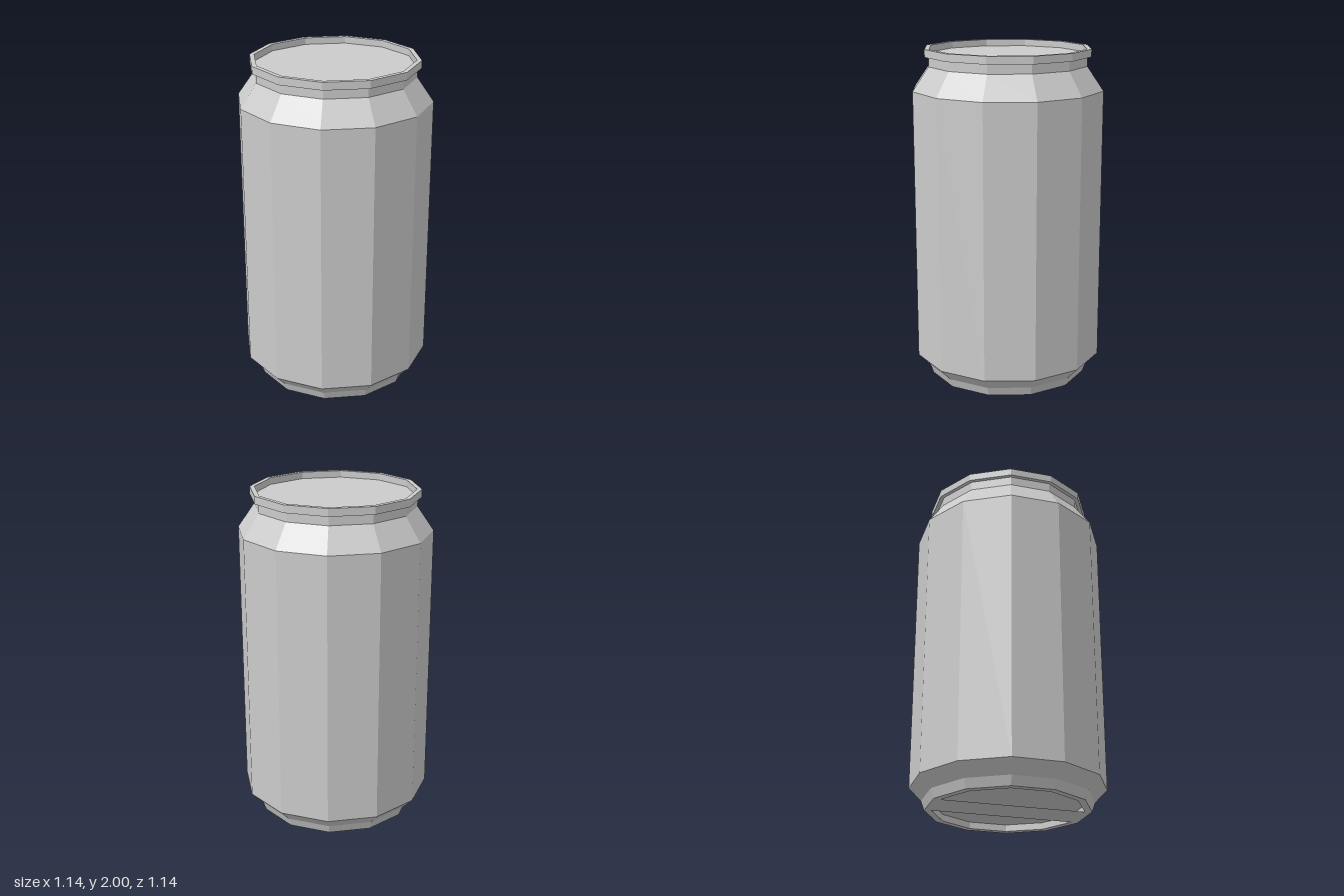
import * as THREE from 'three';

const SIDES = 12;
const BASE_R = 0.437; // inner radius of the foot ring

export function createModel() {
  const can = new THREE.Group();
  can.name = 'can';
  const metal = new THREE.MeshStandardMaterial({ color: 0xcccccc, flatShading: true });

  // Revolves a [radius, height] profile into a faceted ring
  const addLathe = (name, profile) => {
    const points = profile.map(([r, y]) => new THREE.Vector2(r, y));
    const mesh = new THREE.Mesh(new THREE.LatheGeometry(points, SIDES), metal);
    mesh.name = name;
    can.add(mesh);
  };

  // Flat discs sunk below the rim and above the foot
  const addDisc = (name, radius, y, tilt) => {
    const geometry = new THREE.CircleGeometry(radius, SIDES).rotateX(tilt);
    const mesh = new THREE.Mesh(geometry, metal);
    mesh.name = name;
    mesh.position.y = y;
    can.add(mesh);
  };

  // Foot ring with its inner wall
  addLathe('foot', [[BASE_R, 0.04], [BASE_R, 0], [0.48, 0], [0.5, 0.055]]);
  // Lower chamfer, straight wall, shoulder and neck
  addLathe('body', [[0.5, 0.055], [0.572, 0.13], [0.572, 1.76], [0.475, 1.9], [0.475, 1.955]]);
  // Overhanging top rim with its inner wall
  addLathe('rim', [[0.475, 1.955], [0.498, 1.955], [0.498, 2], [0.47, 2], [0.47, 1.96]]);

  addDisc('lid', 0.47, 1.96, -Math.PI / 2);
  addDisc('base', BASE_R, 0.04, Math.PI / 2);

  // Flat strip across the underside, joining two opposite facets of the foot
  const half = Math.PI / SIDES;
  const strip = new THREE.Mesh(
    new THREE.PlaneGeometry(2 * BASE_R * Math.sin(half), 2 * BASE_R * Math.cos(half)).rotateX(Math.PI / 2),
    new THREE.MeshStandardMaterial({ color: 0xcccccc, flatShading: true, side: THREE.DoubleSide })
  );
  strip.name = 'baseStrip';
  strip.rotation.y = half;
  can.add(strip);

  return can;
}
